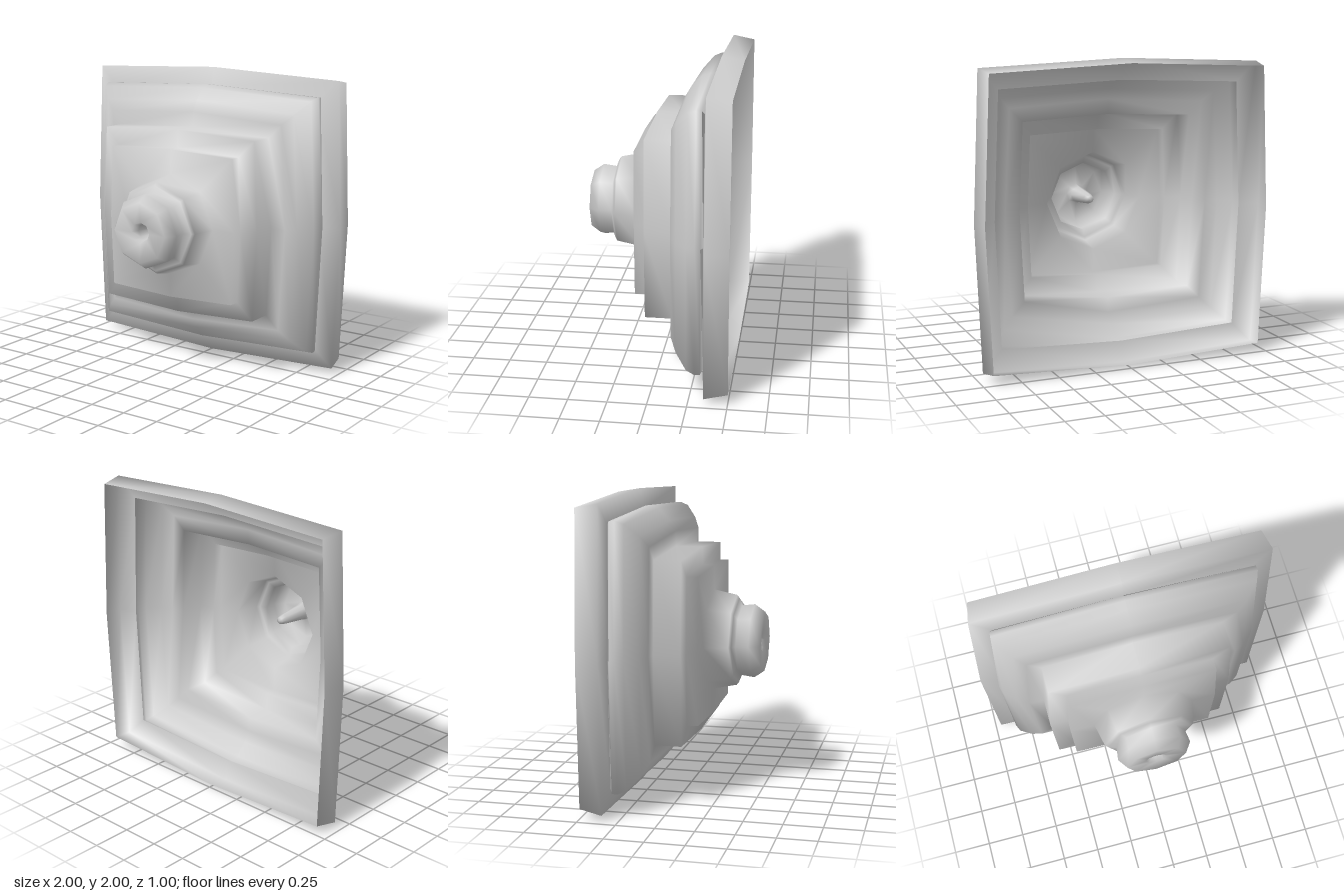
import * as THREE from 'three';

// Each ring is [side radius, corner offset, z]: eight points, four on the axes
// and four on the diagonals. Rings run from the back rim to the dimple tip.
const PARTS = [
  ['rim', [[0.975, 0.935, -0.5], [1, 0.96, -0.35], [0.86, 0.825, -0.33]]],
  ['domedPanel', [[0.885, 0.85, -0.315], [0.888, 0.852, -0.28], [0.87, 0.832, -0.225],
    [0.79, 0.752, -0.15], [0.72, 0.682, -0.11]]],
  ['largeStep', [[0.62, 0.592, -0.105], [0.62, 0.592, 0.07]]],
  ['smallStep', [[0.5, 0.48, 0.078], [0.5, 0.48, 0.152]]],
  ['collar', [[0.337, 0.238, 0.155], [0.305, 0.216, 0.31], [0.285, 0.2, 0.325]]],
  ['knob', [[0.236, 0.167, 0.345], [0.247, 0.175, 0.43], [0.2, 0.142, 0.497]]],
  ['dimple', [[0.07, 0.05, 0.485], [0.055, 0.039, 0.43], [0.036, 0.025, 0.25],
    [0.024, 0.017, 0.21], [0, 0, 0.2]]],
];
const SIDES = 8;

// Index for the quad bands joining consecutive rings
function bandIndex(ringCount) {
  const index = [];
  for (let r = 0; r < ringCount - 1; r++) {
    for (let j = 0; j < SIDES; j++) {
      const k = (j + 1) % SIDES;
      const a = r * SIDES + j, b = r * SIDES + k;
      const c = b + SIDES, d = a + SIDES;
      index.push(a, b, c, a, c, d);
    }
  }
  return index;
}

export function createModel() {
  const group = new THREE.Group();
  const material = new THREE.MeshStandardMaterial({ color: 0xcccccc, side: THREE.DoubleSide });

  // Whole shell first, so the smooth normals flow across the parts
  const rings = PARTS.flatMap(([, list]) => list);
  const positions = [];
  for (const [side, corner, z] of rings) {
    for (let j = 0; j < SIDES; j++) {
      const angle = (j * Math.PI * 2) / SIDES;
      const radius = j % 2 ? corner * Math.SQRT2 : side;
      positions.push(Math.cos(angle) * radius, 1 + Math.sin(angle) * radius, z);
    }
  }
  const shell = new THREE.BufferGeometry();
  shell.setAttribute('position', new THREE.Float32BufferAttribute(positions, 3));
  shell.setIndex(bandIndex(rings.length));
  shell.computeVertexNormals();

  // The collapsed ring at the dimple tip faces straight forward
  const normal = shell.attributes.normal;
  for (let j = 0; j < SIDES; j++) normal.setXYZ((rings.length - 1) * SIDES + j, 0, 0, 1);

  // Cut the shell into parts; each one ends on the first ring of the next
  let first = 0;
  for (const [name, list] of PARTS) {
    const last = Math.min(first + list.length, rings.length - 1);
    const part = new THREE.BufferGeometry();
    for (const key of ['position', 'normal']) {
      const values = shell.attributes[key].array.slice(first * SIDES * 3, (last + 1) * SIDES * 3);
      part.setAttribute(key, new THREE.BufferAttribute(values, 3));
    }
    part.setIndex(bandIndex(last - first + 1));
    const mesh = new THREE.Mesh(part, material);
    mesh.name = name;
    group.add(mesh);
    first += list.length;
  }
  return group;
}
